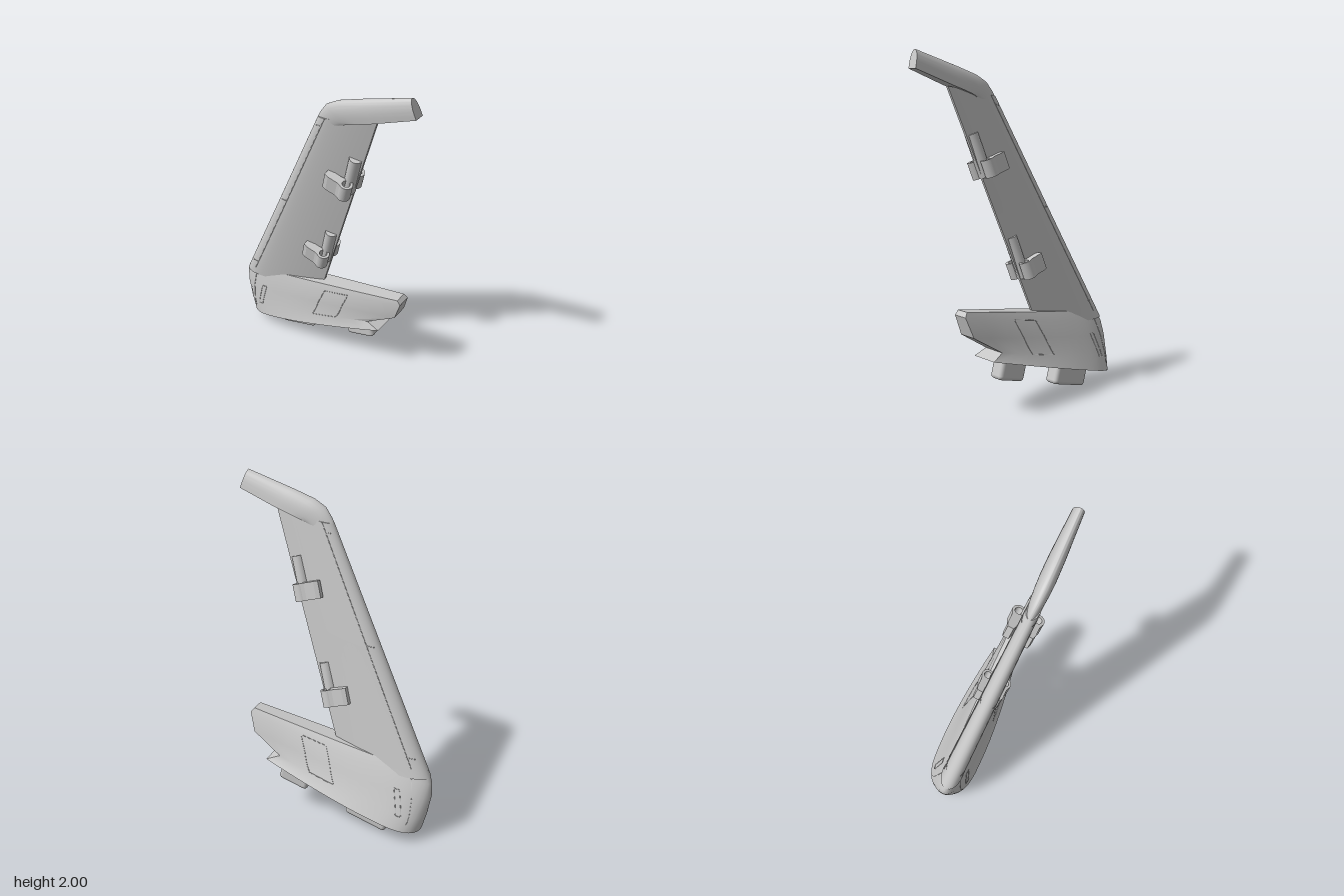
import * as THREE from 'three';
import { toCreasedNormals } from 'three/addons/utils/BufferGeometryUtils.js';
import { RoundedBoxGeometry } from 'three/addons/geometries/RoundedBoxGeometry.js';

const hull = new THREE.MeshStandardMaterial({ color: 0xc8c8c8 });
hull.name = 'hull grey';

// The whole fin leans sideways: z of its middle plane at (x, y)
const middle = (x, y) => -0.075 + 0.17 * (0.96 * y - 0.276 * x - 0.223);

// A station is [noseX, noseY, tailX, tailY, half width, tail half width].
// The kind sets where the section is widest (m) and how blunt its nose is (p).
const body = {
  m: 0.36, p: 4.2,
  stations: [
    [-0.60, 0.06, 0.37, 0.335, 0.148, 0.082],
    [-0.622, 0.15, 0.29, 0.365, 0.12, 0.068],
    [-0.64, 0.27, 0.47, 0.48, 0.094, 0.054],
    [-0.634, 0.35, 0.505, 0.595, 0.071, 0.044],
    [-0.606, 0.42, 0.485, 0.62, 0.052, 0.038],
  ],
};
const fin = {
  m: 0.24, p: 2.6,
  stations: [
    [-0.622, 0.385, -0.075, 0.41, 0.067, 0.008],
    [-0.603, 0.425, -0.03, 0.54, 0.064, 0.008],
    [-0.27, 1.085, 0.19, 1.175, 0.05, 0.008],
    [0.065, 1.75, 0.41, 1.81, 0.037, 0.008],
  ],
};
const horn = {
  m: 0.8, p: 2.2,
  stations: [
    [0.045, 1.71, 0.22, 1.745, 0.036, 0.03],
    [0.078, 1.775, 0.24, 1.757, 0.04, 0.038],
    [0.12, 1.832, 0.265, 1.768, 0.043, 0.042],
    [0.19, 1.872, 0.31, 1.784, 0.045, 0.045],
    [0.32, 1.915, 0.41, 1.818, 0.043, 0.043],
    [0.60, 2.0, 0.634, 1.9, 0.031, 0.031],
  ],
};

// Point on a loft: u runs nose to tail, v counts stations, side is +1 or -1
function surface({ m, p, stations }, u, v, side) {
  const j = Math.min(Math.floor(v), stations.length - 2);
  const [ax, ay, bx, by, w, t] = stations[j].map((s, k) => THREE.MathUtils.lerp(s, stations[j + 1][k], v - j));
  const half = u < m
    ? w * Math.sqrt(1 - (1 - u / m) ** p)
    : t + (w - t) * (1 - ((u - m) / (1 - m)) ** 1.6);
  const x = ax + (bx - ax) * u, y = ay + (by - ay) * u;
  return new THREE.Vector3(x, y, middle(x, y) + side * half);
}

function loft(kind, N = 18) {
  const n = 2 * N + 1, top = kind.stations.length - 1;
  const pos = [], idx = [];
  for (let j = 0; j <= top; j++) {
    for (let i = 0; i < n; i++) {
      const k = i <= N ? i : n - i;
      pos.push(...surface(kind, (k / N) ** 2, j, i <= N ? 1 : -1).toArray());
    }
  }
  for (let j = 0; j < top; j++) {
    for (let i = 0; i < n; i++) {
      const a = j * n + i, b = j * n + (i + 1) % n;
      idx.push(a, b, b + n, a, b + n, a + n);
    }
  }
  // End caps, joined across the section
  const e = top * n;
  idx.push(e, e + 1, e + n - 1, 0, n - 1, 1);
  for (let i = 1; i < N; i++) {
    const a = i, b = i + 1, c = n - i - 1, d = n - i;
    idx.push(e + a, e + b, e + c, e + a, e + c, e + d, a, c, b, a, d, c);
  }
  const g = new THREE.BufferGeometry();
  g.setAttribute('position', new THREE.Float32BufferAttribute(pos, 3));
  g.setIndex(idx);
  return toCreasedNormals(g, 0.6);
}

// Launcher housing: a tapered block that ends in an open ring
function housingGeometry() {
  const s = new THREE.Shape();
  s.moveTo(-0.125, -0.017);
  s.lineTo(-0.1, -0.025);
  s.lineTo(-0.04, -0.025);
  s.lineTo(-0.02, -0.031);
  s.absarc(0, 0, 0.037, -2.144, 2.144, false);
  s.lineTo(-0.04, 0.025);
  s.lineTo(-0.1, 0.025);
  s.lineTo(-0.125, 0.017);
  s.closePath();
  s.holes.push(new THREE.Path().absarc(0, 0, 0.022, 0, Math.PI * 2, true));
  const g = new THREE.ExtrudeGeometry(s, { depth: 0.1, bevelEnabled: false, curveSegments: 20 });
  return g.translate(0, 0, -0.05).rotateX(-Math.PI / 2);
}

export function createModel() {
  const model = new THREE.Group();
  model.name = 'sweptFin';
  const add = (name, geometry, parent = model) => {
    const mesh = new THREE.Mesh(geometry, hull);
    mesh.name = name;
    parent.add(mesh);
    return mesh;
  };

  add('body', loft(body));
  add('fin', loft(fin));
  add('tipHorn', loft(horn));

  // Two launchers on the trailing edge, each with a housing on both sides
  const housing = housingGeometry();
  for (const [x, y] of [[0.217, 1.357], [0.009, 0.767]]) {
    const launcher = new THREE.Group();
    launcher.name = 'launcher';
    launcher.position.set(x, y, middle(x, y));
    launcher.rotation.set(0.17, 0, -0.28);
    for (const side of [1, -1]) add('housing', housing, launcher).position.z = side * 0.057;
    const fairing = add('fairing', new THREE.CylinderGeometry(0.036, 0.036, 0.25, 24), launcher);
    fairing.position.set(-0.002, 0.078, 0);
    fairing.scale.z = 1.15;
    model.add(launcher);
  }

  // Mounting blocks under the base
  for (const [x, y, length] of [[-0.278, 0.103, 0.265], [0.195, 0.248, 0.19]]) {
    const block = add('mountBlock', new RoundedBoxGeometry(length, 0.14, 0.092, 2, 0.022));
    block.position.set(x, y, -0.088);
    block.rotation.z = 0.28;
  }

  // Fine raised panel seams, as [loft, [u, v] corners], laid on both sides
  const seams = [
    [body, [[0.594, 1], [0.77, 1], [0.685, 2], [0.7, 3], [0.557, 3], [0.54, 2], [0.594, 1]]],
    [body, [[0.13, 0.9], [0.165, 0.9], [0.18, 2.2], [0.15, 2.2], [0.13, 0.9]]],
    [body, [[0.08, 0.5], [0.085, 2], [0.09, 3.2]]],
    [fin, [[0.14, 1], [0.17, 3]]],
    ...[1.1, 2.02, 2.92].map((v) => [fin, [[0.06, v], [0.155, v]]]),
  ];
  for (const [kind, corners] of seams) {
    for (const side of [1, -1]) {
      const path = new THREE.CurvePath();
      for (let i = 1; i < corners.length; i++) {
        const [u0, v0] = corners[i - 1], [u1, v1] = corners[i];
        const at = (f) => surface(kind, u0 + (u1 - u0) * f, v0 + (v1 - v0) * f, side);
        for (let k = 0; k < 8; k++) path.add(new THREE.LineCurve3(at(k / 8), at((k + 1) / 8)));
      }
      add('panelSeam', new THREE.TubeGeometry(path, 48, 0.002, 5));
    }
  }
  return model;
}
